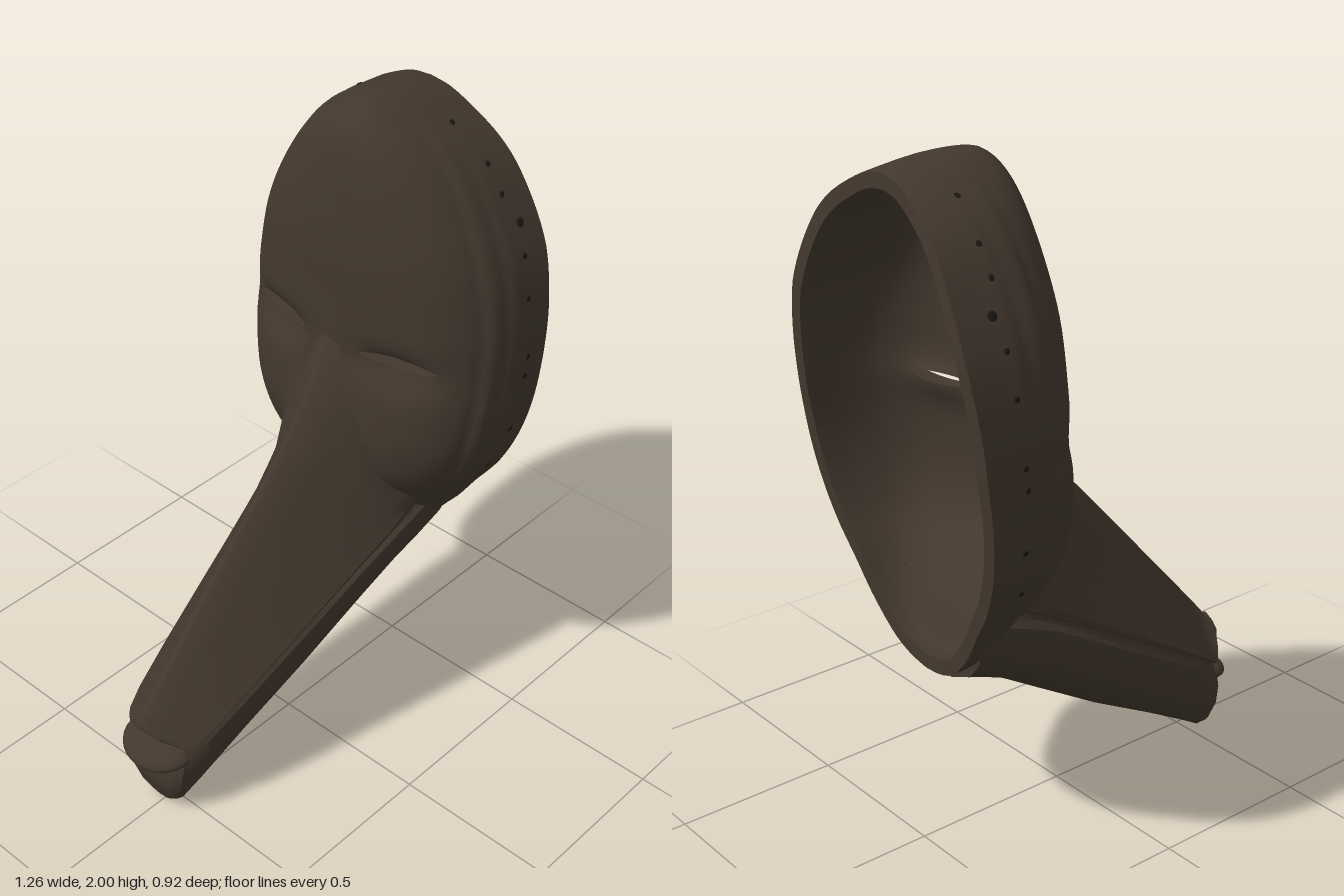
import * as THREE from 'three';
import { toCreasedNormals } from 'three/addons/utils/BufferGeometryUtils.js';

const V3 = (x, y, z) => new THREE.Vector3(x, y, z);
const { smoothstep } = THREE.MathUtils;
const wood = new THREE.MeshStandardMaterial({ name: 'darkWood', color: 0x43382e, side: THREE.DoubleSide });
const hollow = new THREE.MeshStandardMaterial({ name: 'holeShadow', color: 0x1c1713 });

// Skins a grid of points; keep(i) says whether the band below row i is filled
function skin(rows, pos, { flip = false, closed = false, keep = () => true } = {}) {
  for (let i = 0; i < rows.length - 1; i++) {
    if (!keep(i)) continue;
    const n = rows[i].length;
    for (let j = 0; j < (closed ? n : n - 1); j++) {
      const k = (j + 1) % n;
      const a = rows[i][j], b = rows[i + 1][j], c = rows[i][k], d = rows[i + 1][k];
      const tris = flip ? [a, c, b, c, d, b] : [a, b, c, c, b, d];
      for (const p of tris) pos.push(p.x, p.y, p.z);
    }
  }
}

function meshFrom(pos, name, crease) {
  const g = new THREE.BufferGeometry();
  g.setAttribute('position', new THREE.Float32BufferAttribute(pos, 3));
  const m = new THREE.Mesh(toCreasedNormals(g, crease), wood);
  m.name = name;
  return m;
}

const spline = points => new THREE.CatmullRomCurve3(points.map(p => V3(p[0], p[1], p[2] ?? 0)), false, 'centripetal');

// Outline of the mask from crown to chin: half width, height, x of the face
const outline = spline([
  [0, 2, .32], [.07, 1.99, .26], [.14, 1.955, .22], [.225, 1.89, .195], [.325, 1.765, .175], [.41, 1.6, .16],
  [.45, 1.43, .16], [.458, 1.3, .155], [.452, 1.14, .145], [.425, 1.01, .142], [.375, .89, .17], [.3, .78, .25],
  [.232, .68, .32], [.14, .59, .36], [.07, .56, .375], [0, .55, .38],
]);

// Half cross-sections: fraction of width, fraction of depth from face to rim
const outerSection = spline([
  [0, 0], [.33, .025], [.55, .08], [.75, .19], [.87, .33], [.905, .41], [.945, .45], [.965, .52],
  [.968, .6], [.985, .64], [.99, .8], [1, 1],
]);
const innerSection = spline([[0, 0], [.33, .025], [.55, .08], [.75, .19], [.89, .38], [.965, .65], [1, 1]]);

const EYE_Y = 1.3, COLS = 48, ROWS = 64;
const rimX = y => y > 1.6 ? .605 - .25 * (y - 1.6) ** 2 : .605 - .122 * (1.6 - y) ** 1.2;

function maskRows() {
  const stations = outline.getSpacedPoints(ROWS);
  let eye = 0;
  stations.forEach((s, i) => { if (Math.abs(s.y - EYE_Y) < Math.abs(stations[eye].y - EYE_Y)) eye = i; });
  stations[eye].y = EYE_Y;
  stations.splice(eye, 0, stations[eye].clone());
  const mirrored = curve => {
    const half = curve.getSpacedPoints(COLS);
    return [...half.slice(1).reverse().map(p => [-p.x, p.y]), ...half.map(p => [p.x, p.y])];
  };
  const outerCols = mirrored(outerSection), innerCols = mirrored(innerSection);
  const lens = z => Math.sqrt(Math.max(0, 1 - ((Math.abs(z) - .215) / .11) ** 2));

  const layer = inner => stations.map((s, i) => (inner ? innerCols : outerCols).map(([u, f], j) => {
    const z = u * s.x * (inner ? .9 : 1);
    const slit = .017 * lens(outerCols[j][0] * s.x);
    let y = inner ? EYE_Y + (s.y - EYE_Y) * .94 : s.y;
    let x = s.z + (inner ? .05 : 0);
    x += (rimX(s.y) - x) * f - .055 * z * f;
    // eye sockets sink below the brow
    x += .035 * Math.exp(-(((Math.abs(z) - .21) / .13) ** 2) - ((y - 1.285) / .055) ** 2);
    if (i === eye) y += slit;
    if (i === eye + 1) y -= slit;
    // the crown drops a little towards the rim
    y -= .03 * f * f * smoothstep(s.y, 1.8, 2);
    return V3(x, y, z);
  }));
  return { outer: layer(false), inner: layer(true), eye };
}

function buildMask() {
  const { outer, inner, eye } = maskRows();
  const pos = [], keep = i => i !== eye;
  skin(outer, pos, { keep });
  skin(inner, pos, { keep, flip: true });
  // rim joining both skins
  const last = outer[0].length - 1;
  skin([inner.map(r => r[0]), outer.map(r => r[0])], pos, { flip: true });
  skin([inner.map(r => r[last]), outer.map(r => r[last])], pos);
  // walls of the eye slits
  for (let j = 0; j < last; j++) {
    const open = [j, j + 1].some(k => outer[eye][k].y - outer[eye + 1][k].y > 1e-5);
    if (!open) continue;
    for (const r of [eye, eye + 1])
      skin([outer[r].slice(j, j + 2), inner[r].slice(j, j + 2)], pos, { flip: r === eye });
  }
  return { mesh: meshFrom(pos, 'maskShell', .7), outer };
}

// Beak ring: fraction of width, and place on ridge (0), groove (1), keel (2)
const beakHalf = [[0, 0], [.05, .015], [.27, .23], [.5, .44], [.72, .66], [.93, .87], [1, .94], [.97, .985], [.86, 1.01],
  [.87, 1.06], [.95, 1.13], [.95, 1.35], [.86, 1.6], [.66, 1.83], [.35, 1.96], [0, 2]];
const beakRing = [...beakHalf, ...beakHalf.slice(1, -1).reverse().map(([u, k]) => [-u, k])];

function buildBeak() {
  // ridge xy, groove xy, keel xy, half width, sweep of the jaw to the rim, bow around the cheek
  const stations = [
    [.2, 1.4, .34, .78, .455, .54, .243, .13, .125],
    [.15, 1.3, .27, .745, .37, .512, .246, .07, .07],
    [.09, 1.17, .2, .70, .28, .475, .24, 0, .02],
    [0, 1.03, .08, .63, .15, .395, .222, 0, 0],
    [-.2, .81, -.13, .505, -.08, .255, .195, 0, 0],
    [-.4, .585, -.34, .38, -.32, .125, .166, 0, 0],
    [-.53, .44, -.47, .3, -.46, .045, .145, 0, 0],
    [-.585, .375, -.525, .265, -.53, .002, .129, 0, 0],
  ];
  const rows = stations.map(([rx, ry, gx, gy, bx, by, w, sweep, bow]) => beakRing.map(([u, k]) => {
    const p = k < 1 ? [rx + (gx - rx) * k - 4 * bow * k * (1 - k), ry + (gy - ry) * k]
      : [gx + (bx - gx) * (k - 1), gy + (by - gy) * (k - 1)];
    const x = p[0] + sweep * Math.abs(u) * (2 - k) * smoothstep(k, .85, 1.35);
    return V3(x, p[1], w * u - .006 - .014 * (.2 - rx));
  }));
  // rounded ends of both jaws, with a notch at the groove
  const end = rows[rows.length - 1];
  for (const [s, out] of [[.93, .6], [.7, 1], [0, 1.1]])
    rows.push(end.map((p, j) => {
      const bulge = .01 + .036 * Math.abs(Math.sin(Math.PI * beakRing[j][1]));
      return V3(p.x - out * bulge, p.y, -.018 + (p.z + .018) * s);
    }));
  const pos = [];
  skin(rows, pos, { closed: true });
  return meshFrom(pos, 'beak', .6);
}

export function createModel() {
  const group = new THREE.Group();
  group.name = 'beakedMask';
  const { mesh, outer } = buildMask();
  group.add(mesh, buildBeak());

  // lip peeking out between the jaws
  const lip = new THREE.Mesh(new THREE.SphereGeometry(1, 28, 16), wood);
  lip.name = 'lowerLip';
  lip.scale.set(.1, .042, .122);
  lip.rotation.z = .25;
  lip.position.set(-.533, .222, -.018);
  group.add(lip);

  // small holes along the band
  const dot = new THREE.SphereGeometry(1, 10, 6);
  const holes = [[.46, 1.93], [.48, 1.84], [.485, 1.77], [.51, 1.69], [.49, 1.61], [.49, 1.47],
    [.48, 1.31], [.47, 1.25], [.46, 1.06], [.44, .92]];
  for (const side of [-1, 1]) holes.forEach(([x, y], n) => {
    let best = null, score = Infinity;
    outer.forEach((row, i) => row.forEach((p, j) => {
      const d = Math.hypot(p.x - x, p.y - y);
      if (p.z * side > 0 && d < score && i > 0 && i < outer.length - 1) { score = d; best = [i, j]; }
    }));
    const [i, j] = best, p = outer[i][j];
    const along = outer[i + 1][j].clone().sub(outer[i - 1][j]);
    const hole = new THREE.Mesh(dot, hollow);
    hole.name = 'bandHole';
    hole.position.copy(p);
    hole.lookAt(p.clone().add(V3(0, along.z, -along.y)));
    hole.scale.set(1, 1, .3).multiplyScalar(n === 3 ? .014 : .009);
    group.add(hole);
  });
  return group;
}
